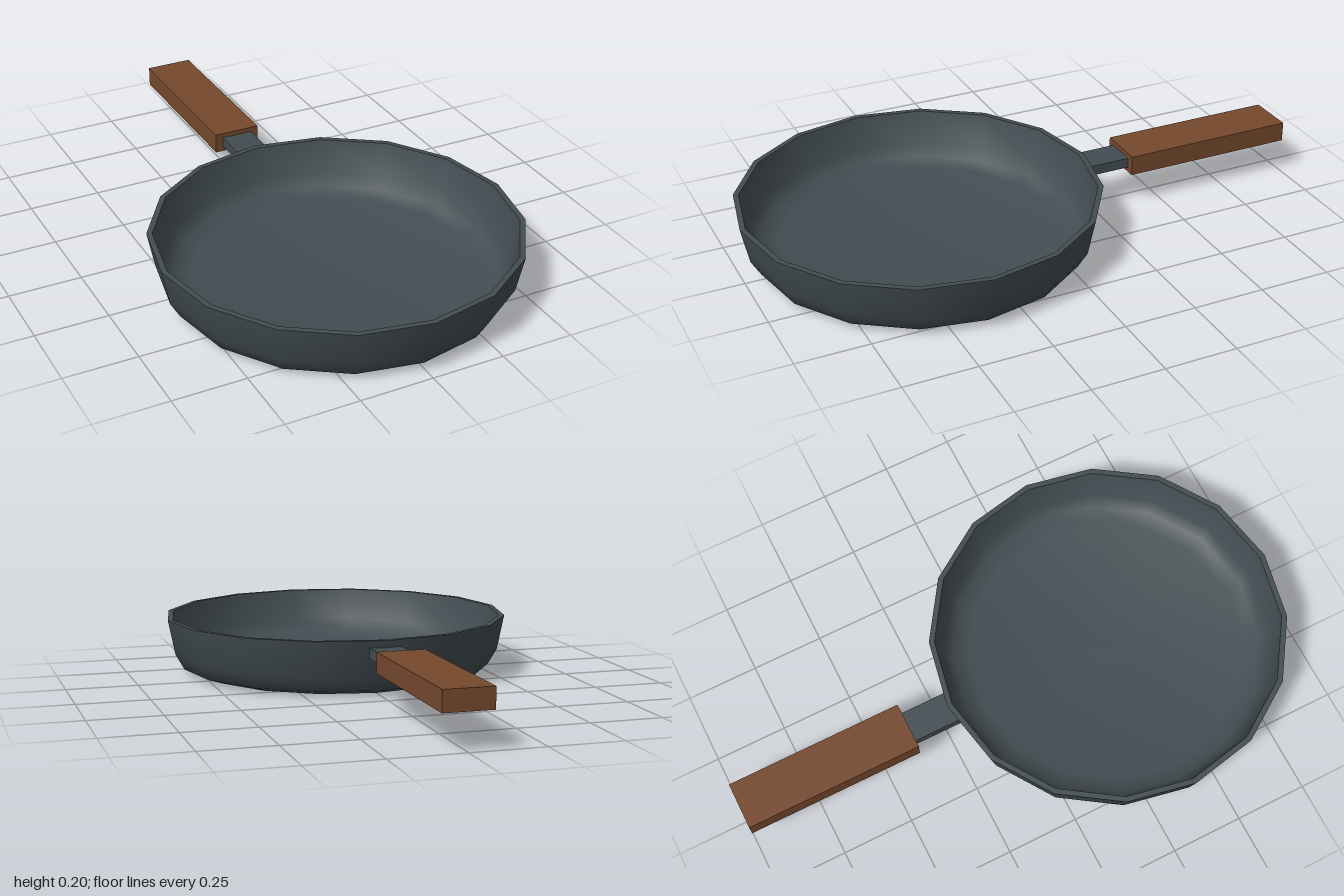
import * as THREE from 'three';
import { toCreasedNormals } from 'three/addons/utils/BufferGeometryUtils.js';

export function createModel() {
  const iron = new THREE.MeshStandardMaterial({ color: 0x434d52 });
  iron.name = 'dark iron';
  const wood = new THREE.MeshStandardMaterial({ color: 0x75482d });
  wood.name = 'brown wood';

  const model = new THREE.Group();
  model.name = 'fryingPan';

  const add = (name, geometry, material, x, y, z) => {
    const mesh = new THREE.Mesh(geometry, material);
    mesh.name = name;
    mesh.position.set(x, y, z);
    model.add(mesh);
  };

  // Bowl: underside, outer wall, flat rim, inner wall, cooking floor
  const profile = [
    [0, 0], [0.5, 0], [0.56, 0.02], [0.592, 0.075], [0.617, 0.2],
    [0.598, 0.2], [0.572, 0.085], [0.542, 0.042], [0.485, 0.025], [0, 0.025],
  ].map(([r, y]) => new THREE.Vector2(r, y));
  const bowl = toCreasedNormals(new THREE.LatheGeometry(profile, 16), 1.0);
  add('bowl', bowl, iron, 0, 0, 0.383);

  // Metal neck joining the bowl to the grip
  add('neck', new THREE.BoxGeometry(0.11, 0.036, 0.19), iron, 0, 0.157, -0.305);

  // Wooden grip
  add('handle', new THREE.BoxGeometry(0.166, 0.07, 0.62), wood, 0, 0.157, -0.69);

  return model;
}
